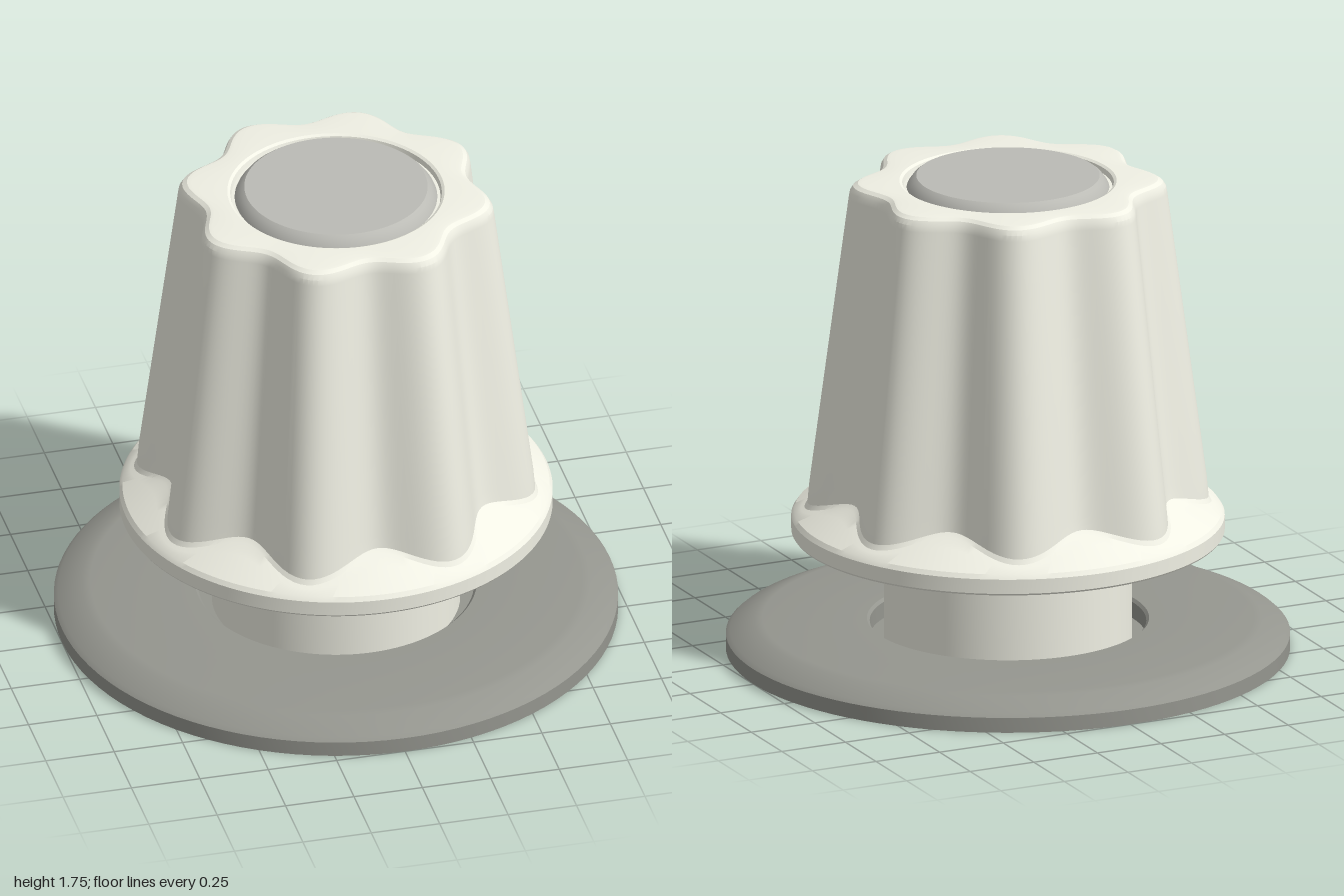
import * as THREE from 'three';
import { toCreasedNormals } from 'three/addons/utils/BufferGeometryUtils.js';

const ivory = new THREE.MeshStandardMaterial({ color: 0xf0f0e4 });
const darkGrey = new THREE.MeshStandardMaterial({ color: 0x95968f });
const midGrey = new THREE.MeshStandardMaterial({ color: 0xbbbbb5 });

function addPart(group, name, geometry, material) {
  const mesh = new THREE.Mesh(toCreasedNormals(geometry, 0.4), material);
  mesh.name = name;
  group.add(mesh);
}

// Turned part from [radius, height] pairs, listed from bottom to top
function turned(profile) {
  return new THREE.LatheGeometry(profile.map(([r, y]) => new THREE.Vector2(r, y)), 96);
}

// Lofted rings: [mean radius, lobe depth, height, lobe height change]
function lobed(rows, lobes, segments) {
  const positions = [];
  const index = [];
  for (const [radius, depth, height, rise = 0] of rows) {
    for (let j = 0; j < segments; j++) {
      const t = (j / segments) * Math.PI * 2;
      const wave = -Math.cos(lobes * t);
      const r = radius + depth * wave;
      positions.push(r * Math.cos(t), height + rise * wave, r * Math.sin(t));
    }
  }
  for (let i = 0; i < rows.length - 1; i++) {
    for (let j = 0; j < segments; j++) {
      const k = (j + 1) % segments;
      const a = i * segments + j, b = i * segments + k;
      const c = a + segments, d = b + segments;
      index.push(a, c, b, b, c, d);
    }
  }
  const geometry = new THREE.BufferGeometry();
  geometry.setAttribute('position', new THREE.Float32BufferAttribute(positions, 3));
  geometry.setIndex(index);
  return geometry;
}

export function createModel() {
  const group = new THREE.Group();

  // Wall plate with bevelled rim and a groove around the stem
  addPart(group, 'basePlate', turned([
    [0, 0], [1, 0], [1, 0.055], [0.985, 0.068], [0.9, 0.105], [0.87, 0.11],
    [0.5, 0.11], [0.49, 0.1], [0.49, 0.04], [0.42, 0.04],
  ]), darkGrey);

  addPart(group, 'stem', turned([[0.44, 0.04], [0.44, 0.44]]), ivory);

  // Fluted grip: flange, sloping foot, tapered body, rounded top, cap recess
  addPart(group, 'knob', lobed([
    [0.42, 0, 0.435], [0.763, 0, 0.435], [0.768, 0, 0.442], [0.768, 0, 0.495], [0.757, 0, 0.511],
    [0.7, 0.035, 0.547, -0.021], [0.67, 0.052, 0.564, -0.03], [0.657, 0.055, 0.58, -0.028],
    [0.65, 0.055, 0.64, -0.012], [0.527, 0.038, 1.685], [0.523, 0.038, 1.707],
    [0.513, 0.037, 1.724], [0.497, 0.036, 1.734], [0.483, 0.034, 1.736],
    [0.385, 0, 1.736], [0.375, 0, 1.73], [0.37, 0, 1.712], [0.32, 0, 1.712],
  ], 8, 192), ivory);

  // Inset disc on top
  addPart(group, 'topCap', turned([
    [0.36, 1.71], [0.355, 1.722], [0.338, 1.745], [0.325, 1.755], [0, 1.755],
  ]), midGrey);

  return group;
}
